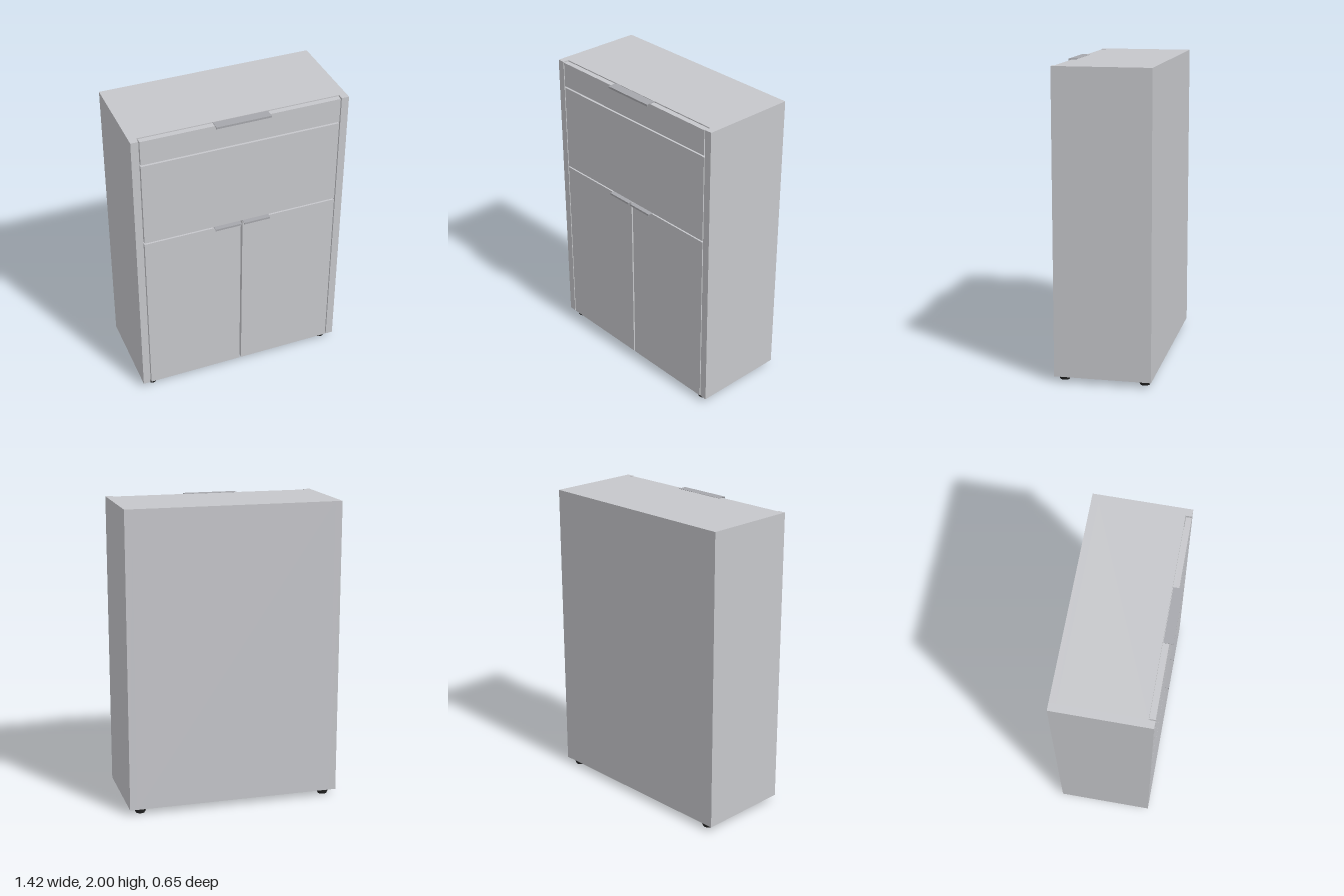
import * as THREE from 'three';

export function createModel() {
  const model = new THREE.Group();
  model.name = 'cabinet';
  const panel = new THREE.MeshStandardMaterial({ name: 'light grey panel', color: 0xc6c7cb });
  const metal = new THREE.MeshStandardMaterial({ name: 'grey handle metal', color: 0xa6a7ac });
  const rubber = new THREE.MeshStandardMaterial({ name: 'black foot', color: 0x262626 });

  // Box given by its minimum and maximum corners
  function box(name, material, [x0, y0, z0], [x1, y1, z1], parent = model) {
    const mesh = new THREE.Mesh(new THREE.BoxGeometry(x1 - x0, y1 - y0, z1 - z0), material);
    mesh.position.set((x0 + x1) / 2, (y0 + y1) / 2, (z0 + z1) / 2);
    mesh.name = name;
    parent.add(mesh);
    return mesh;
  }

  const W = 0.71, IN = 0.661, BACK = -0.325, FRONT = 0.3, BASE = 0.036, TOP = 2;
  const CARCASS = 0.26, DOOR = 0.264;

  // Carcass: sides, back, top, bottom and inner shelves
  box('leftSide', panel, [IN, BASE, BACK], [W, TOP, FRONT]);
  box('rightSide', panel, [-W, BASE, BACK], [-IN, TOP, FRONT]);
  box('backPanel', panel, [-IN, BASE, BACK], [IN, TOP, BACK + 0.045]);
  box('topPanel', panel, [-IN, TOP - 0.04, BACK + 0.045], [IN, TOP, CARCASS]);
  box('bottomPanel', panel, [-IN, BASE, BACK + 0.045], [IN, BASE + 0.045, CARCASS]);
  for (const y of [0.65, 1.234, 1.825]) {
    box('shelf', panel, [-IN, y - 0.02, BACK + 0.045], [IN, y + 0.02, CARCASS]);
  }

  // Fronts, separated by narrow gaps
  const F = 0.654;
  box('drawerFront', panel, [-F, 1.83, DOOR], [F, 1.996, FRONT]);
  box('flapFront', panel, [-F, 1.239, DOOR], [F, 1.819, FRONT]);
  box('leftDoor', panel, [0.006, BASE, DOOR], [F, 1.229, FRONT]);
  box('rightDoor', panel, [-F, BASE, DOOR], [-0.006, 1.229, FRONT]);

  // Edge pull: thin plate over the front with a short lip turned down
  function handle(name, x0, x1, y) {
    const group = new THREE.Group();
    group.name = name;
    box('handlePlate', metal, [x0, y, DOOR], [x1, y + 0.004, 0.325], group);
    box('handleLip', metal, [x0, y - 0.009, 0.321], [x1, y, 0.325], group);
    model.add(group);
  }
  handle('topHandle', -0.18, 0.18, 1.996);
  handle('leftDoorHandle', 0.008, 0.188, 1.229);
  handle('rightDoorHandle', -0.188, -0.008, 1.229);

  // Feet: short tapered discs
  const footProfile = [[0, 0], [0.029, 0], [0.033, 0.006], [0.041, 0.026], [0.041, BASE], [0, BASE]]
    .map(([r, y]) => new THREE.Vector2(r, y));
  const footGeometry = new THREE.LatheGeometry(footProfile, 24);
  for (const x of [-0.633, 0.633]) {
    for (const z of [-0.273, 0.248]) {
      const foot = new THREE.Mesh(footGeometry, rubber);
      foot.position.set(x, 0, z);
      foot.name = 'foot';
      model.add(foot);
    }
  }
  return model;
}
